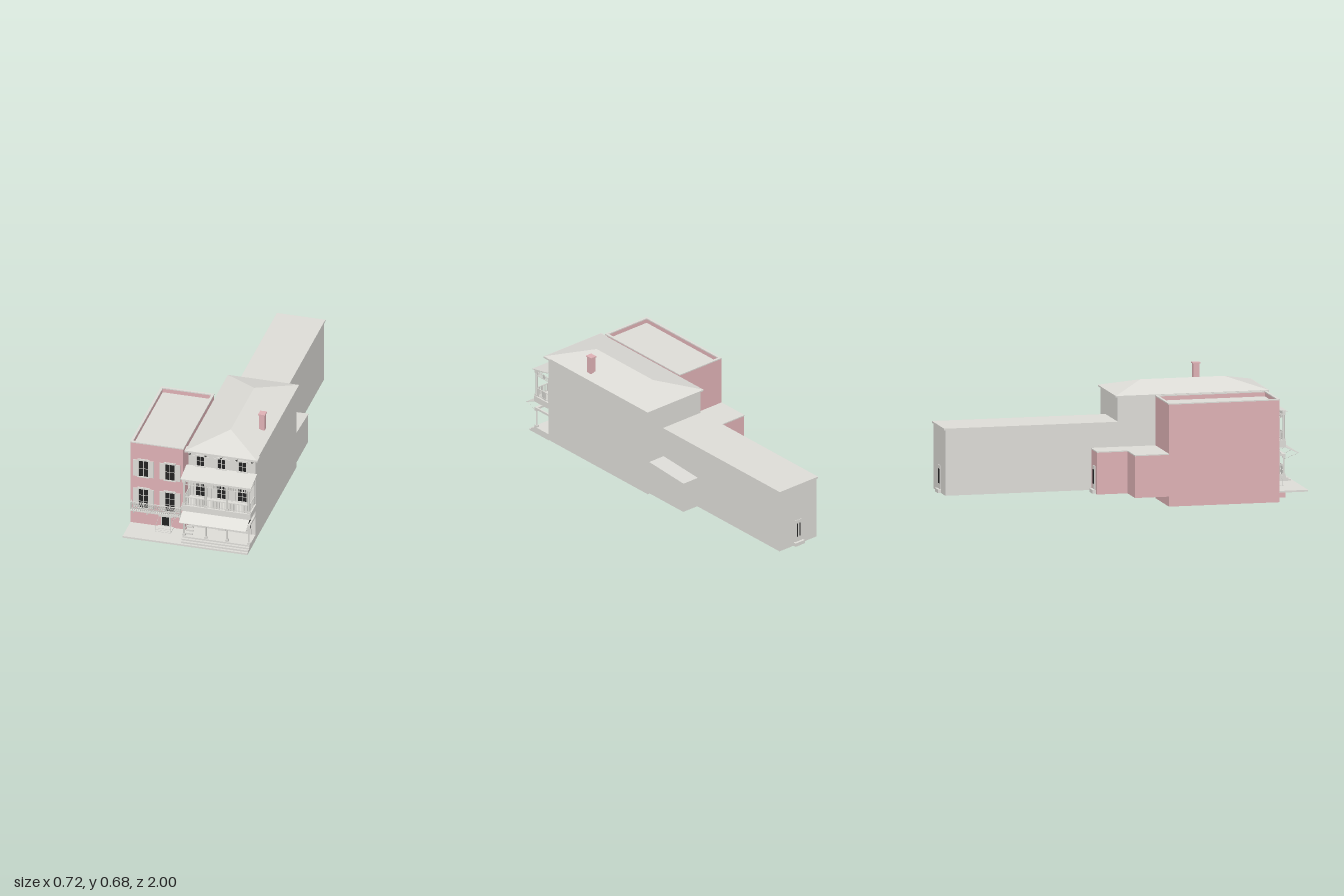
import * as THREE from 'three';

const paint = (name, color) => {
  const m = new THREE.MeshStandardMaterial({ color, side: THREE.DoubleSide });
  m.name = name;
  return m;
};

export function createModel() {
  const stone = paint('pale grey', 0xdddcd7);
  const brick = paint('dusty pink brick', 0xdeb1b5);
  const glass = paint('dark glass', 0x222222);
  const iron = paint('dark iron', 0x4a4a48);
  const root = new THREE.Group();
  root.name = 'townhouses';

  const section = (name, parent = root) => {
    const g = new THREE.Group();
    g.name = name;
    parent.add(g);
    return g;
  };
  // Box given by its limits on each axis
  const box = (g, name, mat, x0, x1, y0, y1, z0, z1) => {
    const geo = new THREE.BoxGeometry(x1 - x0, y1 - y0, z1 - z0);
    geo.translate((x0 + x1) / 2, (y0 + y1) / 2, (z0 + z1) / 2);
    const m = new THREE.Mesh(geo, mat);
    m.name = name;
    g.add(m);
    return m;
  };
  // Hollow building volume: a box without its bottom face
  const shell = (...args) => {
    const m = box(...args);
    const idx = Array.from(m.geometry.index.array);
    idx.splice(18, 6);
    m.geometry.setIndex(idx);
    m.geometry.clearGroups();
    return m;
  };
  // Move the vertices of a box by a rule
  const warp = (mesh, rule) => {
    const p = mesh.geometry.attributes.position;
    const v = new THREE.Vector3();
    for (let i = 0; i < p.count; i++) {
      v.fromBufferAttribute(p, i);
      rule(v);
      p.setXYZ(i, v.x, v.y, v.z);
    }
    mesh.geometry.computeVertexNormals();
    return mesh;
  };
  // Thin straight bar between two points
  const bar = (g, name, mat, a, b, r, sides = 4) => {
    const A = new THREE.Vector3(...a), d = new THREE.Vector3(...b).sub(A);
    const m = new THREE.Mesh(new THREE.CylinderGeometry(r, r, d.length(), sides), mat);
    m.position.copy(A).addScaledVector(d, 0.5);
    m.quaternion.setFromUnitVectors(new THREE.Vector3(0, 1, 0), d.normalize());
    m.name = name;
    g.add(m);
  };
  // Sash window through a front wall at depth z, with shutters
  const sash = (parent, name, x, w, y0, y1, z, shutter, rows = 2) => {
    const g = section(name, parent), h = w / 2, f = 0.004;
    box(g, 'glass', glass, x - h, x + h, y0, y1, z - 0.002, z + 0.002);
    for (const s of [-1, 1]) {
      const e = x + s * (h + f / 2), c = x + s * (h + f + shutter / 2);
      box(g, 'jamb', stone, e - f / 2, e + f / 2, y0, y1, z, z + 0.006);
      box(g, 'shutter', stone, c - shutter / 2, c + shutter / 2, y0 - 0.002, y1 + 0.002, z, z + 0.005);
    }
    box(g, 'lintel', stone, x - h - 0.008, x + h + 0.008, y1, y1 + 0.01, z, z + 0.007);
    box(g, 'sill', stone, x - h - 0.008, x + h + 0.008, y0 - 0.005, y0, z, z + 0.01);
    box(g, 'mullion', stone, x - 0.0015, x + 0.0015, y0, y1, z, z + 0.004);
    for (let i = 1; i < rows; i++) {
      const y = y0 + (y1 - y0) * i / rows;
      box(g, 'rail', stone, x - h, x + h, y - 0.001, y + 0.001, z, z + 0.004);
    }
  };
  // Back door with a step, facing -z
  const backDoor = (parent, x, z) => {
    const g = section('backDoor', parent);
    box(g, 'doorFrame', stone, x - 0.024, x + 0.024, 0.075, 0.205, z - 0.004, z);
    for (const s of [-1, 1]) box(g, 'doorPane', glass, x + s * 0.01 - 0.003, x + s * 0.01 + 0.003, 0.105, 0.185, z - 0.006, z - 0.003);
    box(g, 'step', stone, x - 0.033, x + 0.033, 0.055, 0.075, z - 0.018, z);
  };
  // Porch column with base and capital
  const column = (g, x, y0, y1, z, r) => {
    bar(g, 'columnShaft', stone, [x, y0, z], [x, y1, z], r, 10);
    box(g, 'columnBase', stone, x - 0.008, x + 0.008, y0, y0 + 0.012, z - 0.008, z + 0.008);
    box(g, 'columnCapital', stone, x - 0.008, x + 0.008, y1 - 0.01, y1, z - 0.008, z + 0.008);
  };

  // ---- Pavement
  box(root, 'pavement', stone, -0.36, 0.344, 0.052, 0.062, 0.81, 0.97);

  // ---- Brick house
  const house = section('brickHouse');
  shell(house, 'brickBody', brick, -0.36, -0.063, 0, 0.535, 0.19, 0.81);
  box(house, 'flatRoof', stone, -0.35, -0.073, 0.533, 0.538, 0.2, 0.8);
  shell(house, 'basementFront', brick, -0.21, -0.108, 0, 0.053, 0.81, 0.88);
  const ring = (name, mat, y0, y1, o, t) => {
    const [a, b, c, d] = [-0.36 - o, -0.063 + o, 0.19 - o, 0.81 + o];
    box(house, name, mat, a, a + t, y0, y1, c, d);
    box(house, name, mat, b - t, b, y0, y1, c, d);
    box(house, name, mat, a + t, b - t, y0, y1, c, c + t);
    box(house, name, mat, a + t, b - t, y0, y1, d - t, d);
  };
  ring('parapet', brick, 0.535, 0.561, 0, 0.01);
  ring('coping', stone, 0.561, 0.567, 0.002, 0.014);
  // Stepped rear additions
  shell(house, 'rearAddition', brick, -0.36, -0.063, 0.055, 0.285, 0, 0.19);
  box(house, 'rearAdditionRoof', stone, -0.362, -0.063, 0.285, 0.291, -0.002, 0.19);
  shell(house, 'rearEntry', brick, -0.195, -0.063, 0.055, 0.285, -0.17, 0);
  box(house, 'rearEntryRoof', stone, -0.197, -0.061, 0.285, 0.291, -0.172, 0);
  backDoor(house, -0.13, -0.17);
  for (const x of [-0.286, -0.137]) {
    sash(house, 'upperWindow', x, 0.052, 0.36, 0.457, 0.81, 0.028);
    sash(house, 'lowerWindow', x, 0.052, 0.165, 0.28, 0.81, 0.028, 3);
  }
  // Front entrance
  const entry = section('frontEntrance', house);
  box(entry, 'doorSurround', stone, -0.186, -0.132, 0.062, 0.13, 0.81, 0.815);
  box(entry, 'doorPanel', glass, -0.179, -0.141, 0.075, 0.127, 0.815, 0.818);
  box(entry, 'doorHood', stone, -0.2, -0.118, 0.128, 0.146, 0.81, 0.82);
  for (let i = 0; i < 3; i++) box(entry, 'step', stone, -0.203, -0.115, 0.062, 0.064 + i * 0.002, 0.81, 0.873 - i * 0.015);
  for (const x of [-0.201, -0.117]) {
    bar(entry, 'railPost', stone, [x, 0.062, 0.868], [x, 0.1, 0.868], 0.001);
    bar(entry, 'handrail', stone, [x, 0.1, 0.868], [x, 0.117, 0.815], 0.001);
  }
  // Balcony with crossed bars
  const balcony = section('balcony', house);
  box(balcony, 'balconyFloor', stone, -0.353, -0.07, 0.146, 0.153, 0.81, 0.835);
  box(balcony, 'topRail', stone, -0.353, -0.07, 0.201, 0.205, 0.831, 0.835);
  for (const x of [-0.351, -0.072]) box(balcony, 'sideRail', stone, x - 0.002, x + 0.002, 0.201, 0.205, 0.81, 0.833);
  const n = 26, step = 0.281 / n;
  for (let i = 0; i < n; i++) {
    const x = -0.352 + i * step;
    bar(balcony, 'crossBar', stone, [x, 0.153, 0.833], [x + step, 0.202, 0.833], 0.0018);
    bar(balcony, 'crossBar', stone, [x + step, 0.153, 0.833], [x, 0.202, 0.833], 0.0018);
  }
  for (const x of [-0.351, -0.072]) for (const z of [0.814, 0.823, 0.833]) bar(balcony, 'post', stone, [x, 0.153, z], [x, 0.202, z], 0.0015);
  for (const x of [-0.34, -0.262, -0.105, -0.08]) box(balcony, 'bracket', stone, x - 0.002, x + 0.002, 0.129, 0.147, 0.81, 0.826);

  // ---- Galleried building
  const hall = section('galleriedBuilding');
  hall.position.x = 0.002;
  shell(hall, 'hallBody', stone, -0.035, 0.342, 0.055, 0.562, -0.015, 0.81);
  box(hall, 'eaves', stone, -0.045, 0.35, 0.56, 0.568, -0.028, 0.8);
  box(hall, 'frontEave', stone, -0.053, 0.36, 0.558, 0.568, 0.78, 0.83);
  warp(box(hall, 'hipRoof', stone, -0.048, 0.354, 0.568, 0.622, -0.028, 0.828), v => {
    if (v.y > 0.6) {
      v.x = 0.153;
      v.z = v.z > 0.4 ? 0.63 : 0.16;
    }
  });
  box(hall, 'chimney', brick, 0.283, 0.313, 0.575, 0.676, 0.49, 0.525);
  box(hall, 'chimneyCap', brick, 0.279, 0.317, 0.674, 0.68, 0.486, 0.529);
  for (const x of [-0.026, 0.063, 0.152, 0.239, 0.326]) {
    box(hall, 'eaveBracket', stone, x - 0.007, x + 0.007, 0.553, 0.558, 0.81, 0.828);
    box(hall, 'bracketTip', iron, x - 0.005, x + 0.005, 0.542, 0.553, 0.81, 0.822);
  }
  for (const x of [0.033, 0.152, 0.27]) {
    sash(hall, 'atticWindow', x, 0.041, 0.477, 0.535, 0.81, 0.024);
    sash(hall, 'galleryDoor', x, 0.048, 0.29, 0.405, 0.81, 0.02, 4);
    // Louvre battens on the gallery shutters
    for (const s of [-1, 1]) for (const k of [0.031, 0.038, 0.045]) box(hall, 'batten', stone, x + s * k - 0.0015, x + s * k + 0.0015, 0.292, 0.403, 0.815, 0.818);
  }

  // Rear wing and lean-to
  const wing = section('rearWing', hall);
  shell(wing, 'wingBody', stone, -0.036, 0.228, 0.055, 0.418, -0.98, -0.015);
  box(wing, 'wingRoof', stone, -0.041, 0.233, 0.415, 0.425, -0.988, -0.015);
  backDoor(wing, 0.095, -0.98);
  warp(shell(wing, 'leanTo', stone, 0.228, 0.328, 0.055, 0.245, -0.295, -0.015), v => {
    if (v.y > 0.2 && v.z < -0.2) v.y = 0.227;
  });
  warp(box(wing, 'leanToRoof', stone, 0.228, 0.331, 0.245, 0.25, -0.3, -0.015), v => {
    if (v.z < -0.2) v.y -= 0.018;
  });

  // Ground-floor porch
  const porch = section('porch', hall);
  for (let i = 0; i < 3; i++) box(porch, 'porchStep', stone, -0.036, 0.343, 0.062, 0.072 + i * 0.009, 0.81, 0.957 - i * 0.014);
  const columns = [-0.03, 0.093, 0.212, 0.335];
  for (const x of columns) column(porch, x, 0.09, 0.2, 0.917, 0.005);
  box(porch, 'porchBeam', stone, -0.036, 0.343, 0.199, 0.211, 0.909, 0.925);
  for (const x of [-0.03, 0.337]) box(porch, 'sideBeam', stone, x - 0.005, x + 0.005, 0.199, 0.211, 0.81, 0.91);
  box(porch, 'shopWindow', glass, 0.229, 0.317, 0.128, 0.196, 0.807, 0.815);
  box(porch, 'shopPanel', stone, 0.226, 0.32, 0.092, 0.126, 0.81, 0.815);
  box(porch, 'transom', glass, 0.135, 0.171, 0.164, 0.197, 0.807, 0.815);
  box(porch, 'shopDoor', stone, 0.132, 0.174, 0.09, 0.162, 0.81, 0.816);
  for (const x of [0.022, 0.062]) box(porch, 'doorJamb', stone, x - 0.003, x + 0.003, 0.09, 0.185, 0.81, 0.817);
  box(porch, 'doorHead', stone, 0.019, 0.065, 0.18, 0.187, 0.81, 0.817);
  box(porch, 'sideDoor', stone, 0.025, 0.059, 0.09, 0.18, 0.81, 0.814);
  // Stair up to the gallery
  for (let i = 0; i < 10; i++) {
    const z = 0.905 - i * 0.009, y = 0.1 + i * 0.016;
    box(porch, 'tread', stone, -0.024, 0.015, y - 0.01, y, z - 0.01, z);
  }
  for (const x of [-0.024, 0.015]) bar(porch, 'stairRail', stone, [x, 0.125, 0.905], [x, 0.25, 0.83], 0.002);
  // Sloping awning with stays
  warp(box(porch, 'awning', stone, -0.036, 0.341, 0.211, 0.214, 0.922, 1.0), v => {
    if (v.z < 0.95) v.y += 0.036;
  });
  for (const x of columns) bar(porch, 'awningStay', stone, [x, 0.182, 0.918], [x, 0.212, 0.997], 0.001);

  // Upper gallery
  const gallery = section('upperGallery', hall);
  box(gallery, 'galleryFloor', stone, -0.042, 0.347, 0.248, 0.283, 0.81, 0.928);
  for (const x of columns) {
    column(gallery, x, 0.283, 0.434, 0.917, 0.006);
    box(gallery, 'wallPost', stone, x - 0.005, x + 0.005, 0.283, 0.434, 0.81, 0.818);
  }
  box(gallery, 'galleryBeam', stone, -0.04, 0.346, 0.434, 0.446, 0.908, 0.925);
  warp(box(gallery, 'galleryRoof', stone, -0.046, 0.352, 0.443, 0.448, 0.81, 0.933), v => {
    if (v.z < 0.9) v.y += 0.024;
  });
  for (const [y0, y1] of [[0.288, 0.291], [0.328, 0.333], [0.407, 0.41], [0.427, 0.43]]) {
    box(gallery, 'frontRail', stone, -0.032, 0.339, y0, y1, 0.915, 0.919);
    for (const x of [-0.03, 0.337]) box(gallery, 'sideRail', stone, x - 0.002, x + 0.002, y0, y1, 0.81, 0.917);
  }
  const baluster = (x, z) => {
    bar(gallery, 'baluster', stone, [x, 0.283, z], [x, 0.33, z], 0.0024, 5);
    bar(gallery, 'friezeSpindle', stone, [x, 0.408, z], [x, 0.434, z], 0.002, 5);
  };
  for (let i = 1; i < 42; i++) baluster(-0.03 + i * 0.367 / 42, 0.917);
  for (let i = 1; i < 12; i++) for (const x of [-0.03, 0.337]) baluster(x, 0.81 + i * 0.107 / 12);
  return root;
}
